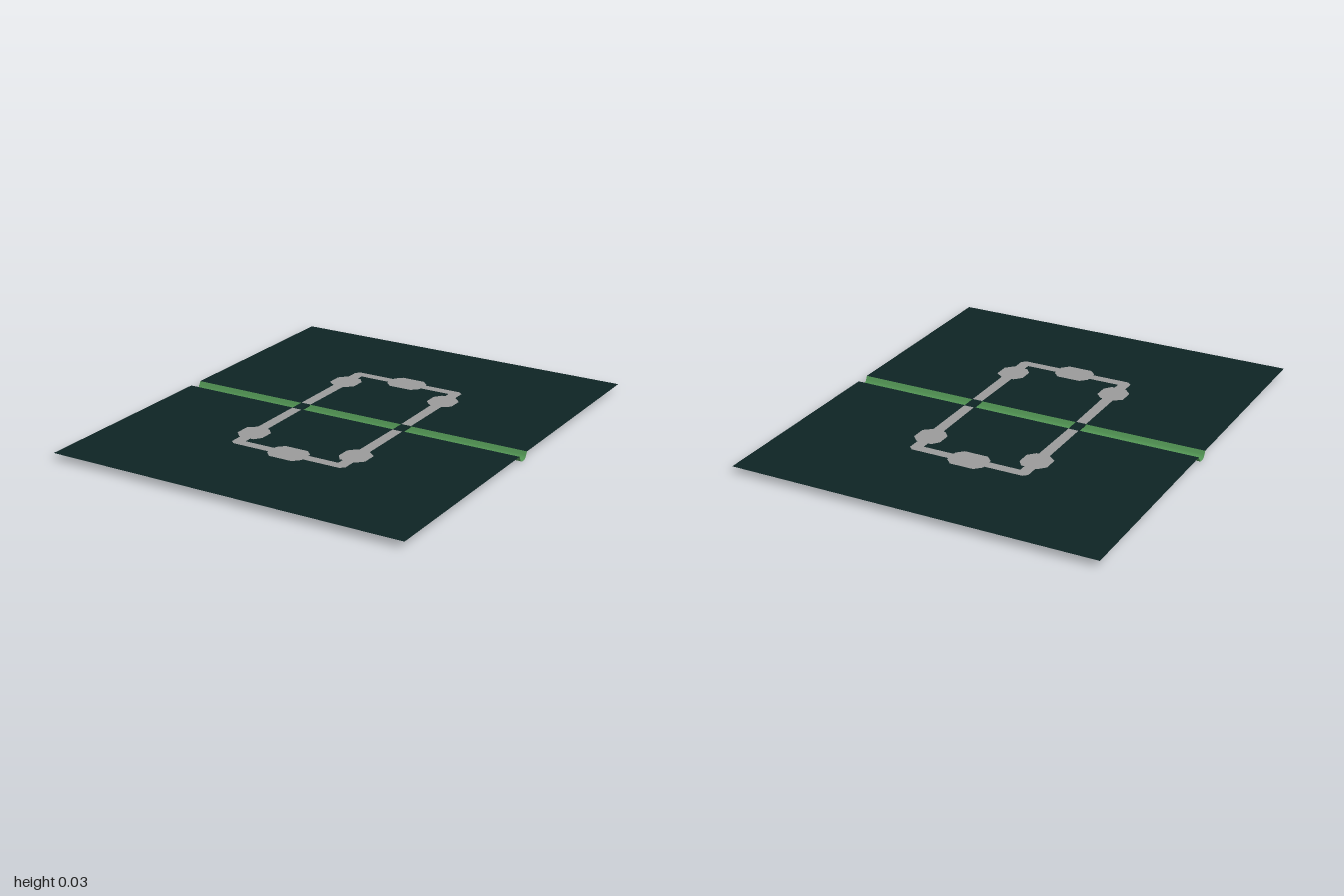
import * as THREE from 'three';

const HALF_X = 0.837, TOP = 0.03, GAP = 0.035;

const sheetMat = new THREE.MeshStandardMaterial({ name: 'dark teal', color: 0x0e2424, side: THREE.DoubleSide });
const frameMat = new THREE.MeshStandardMaterial({ name: 'grey', color: 0x9c9c9c, side: THREE.DoubleSide });
const greenMat = new THREE.MeshStandardMaterial({ name: 'green', color: 0x559a57, side: THREE.DoubleSide });

// Right half of the U-shaped track: outer edge going away from the gap, inner edge coming back
const OUTER = [[0.281, 0.038], [0.281, 0.31], [0.318, 0.34], [0.318, 0.41], [0.29, 0.44], [0.281, 0.445],
  [0.281, 0.505], [0.262, 0.523], [0.085, 0.523], [0.085, 0.533], [0.055, 0.563]];
const INNER = [[0.055, 0.435], [0.085, 0.465], [0.085, 0.478], [0.23, 0.478], [0.23, 0.443], [0.215, 0.443],
  [0.19, 0.41], [0.19, 0.345], [0.22, 0.312], [0.23, 0.312], [0.233, 0.038]];

function trackPoints() {
  const mirror = (list) => list.map(([x, y]) => [-x, y]).reverse();
  return [...OUTER, ...mirror(OUTER), ...mirror(INNER), ...INNER].map(([x, y]) => new THREE.Vector2(x, y));
}

function flat(shape, material, name) {
  const mesh = new THREE.Mesh(new THREE.ShapeGeometry(shape).rotateX(-Math.PI / 2), material);
  mesh.position.y = TOP;
  mesh.name = name;
  return mesh;
}

// One half of the board with the track set into it
function boardHalf(name) {
  const half = new THREE.Group();
  half.name = name;
  const board = new THREE.Shape([[-HALF_X, GAP], [HALF_X, GAP], [HALF_X, 1], [-HALF_X, 1]]
    .map(([x, y]) => new THREE.Vector2(x, y)));
  board.holes.push(new THREE.Path(trackPoints()));
  half.add(flat(board, sheetMat, 'board'), flat(new THREE.Shape(trackPoints()), frameMat, 'track'));
  return half;
}

// Open trough hanging below the gap between the halves
function trough() {
  const profile = [[-GAP, TOP], [-0.028, 0.016], [-0.021, 0.005], [-0.01, 0],
    [0.01, 0], [0.021, 0.005], [0.028, 0.016], [GAP, TOP]];
  const rows = profile.length - 1;
  const geo = new THREE.PlaneGeometry(2 * HALF_X, 1, 1, rows);
  const pos = geo.attributes.position;
  for (let i = 0; i < pos.count; i++) {
    const [z, y] = profile[Math.round((0.5 - pos.getY(i)) * rows)];
    pos.setXYZ(i, pos.getX(i), y, z);
  }
  geo.computeVertexNormals();
  const mesh = new THREE.Mesh(geo, greenMat);
  mesh.name = 'trough';
  return mesh;
}

export function createModel() {
  const model = new THREE.Group();
  const front = boardHalf('frontHalf');
  front.rotation.y = Math.PI;
  model.add(boardHalf('backHalf'), front, trough());

  // Small bridges joining the halves over the trough
  for (const side of [-1, 1]) {
    const bridge = new THREE.Mesh(new THREE.BoxGeometry(0.048, 0.006, 2 * GAP), sheetMat);
    bridge.position.set(side * 0.257, TOP - 0.003, 0);
    bridge.name = 'bridge';
    model.add(bridge);
  }
  return model;
}
